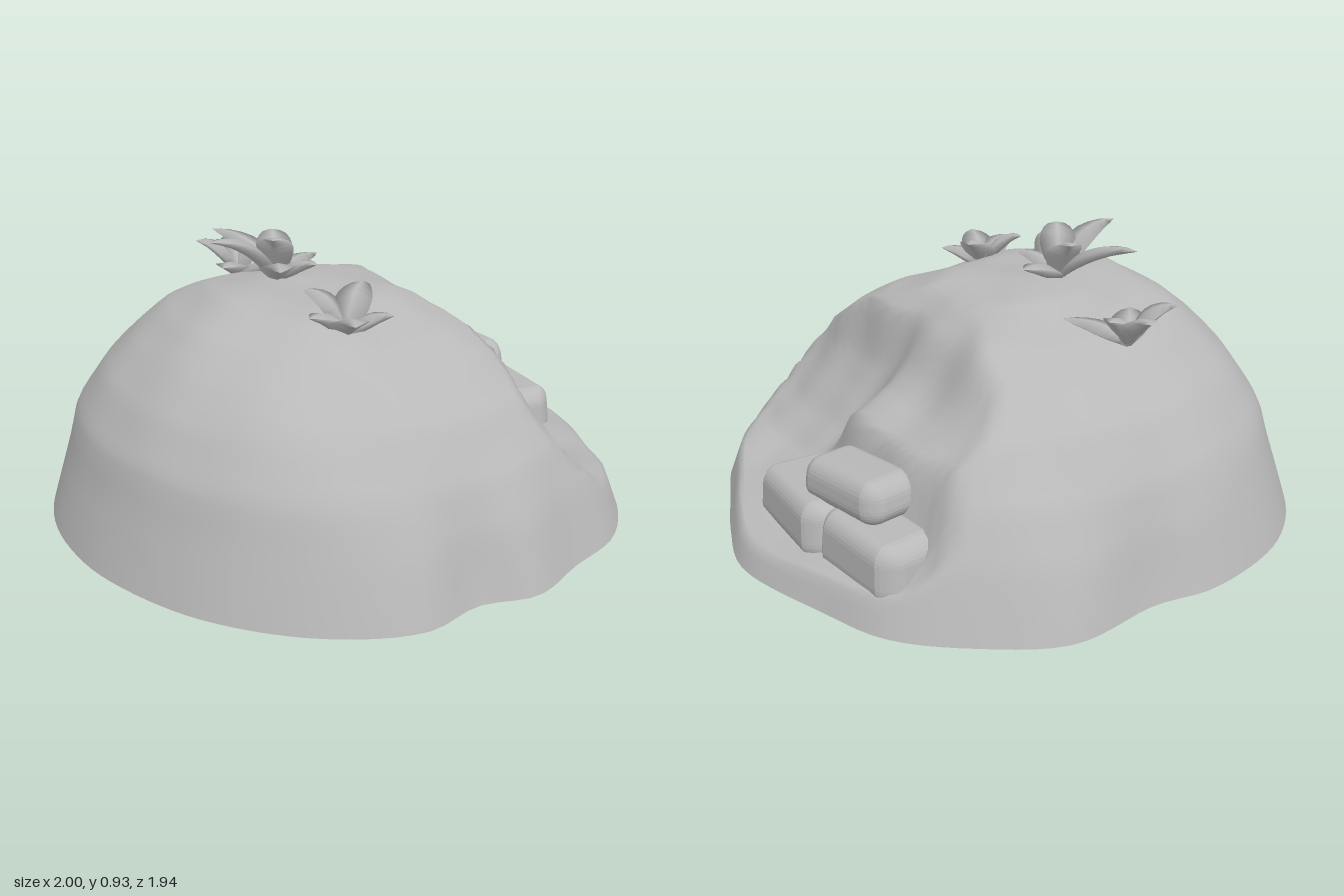
import * as THREE from 'three';
import { mergeVertices } from 'three/addons/utils/BufferGeometryUtils.js';
import { RoundedBoxGeometry } from 'three/addons/geometries/RoundedBoxGeometry.js';

const { lerp, smoothstep } = THREE.MathUtils;

// Piecewise linear lookup through [position, value] pairs
function lookup(table, t) {
  if (t <= table[0][0]) return table[0][1];
  for (let i = 1; i < table.length; i++) {
    const [a, u] = table[i - 1], [b, v] = table[i];
    if (t <= b) return lerp(u, v, (t - a) / (b - a));
  }
  return table[table.length - 1][1];
}

// Ground outline (x, z), running round the mound
const OUTLINE = [[-.99, -.2], [-.92, -.42], [-.75, -.7], [-.5, -.89], [-.15, -.97], [.06, -.94], [.38, -.96],
  [.61, -.83], [.81, -.64], [.9, -.42], [1, -.05], [.94, .19], [.85, .41], [.75, .63], [.57, .81], [.35, .89],
  [.14, .97], [-.05, .93], [-.26, .97], [-.54, .85], [-.8, .59], [-.96, .25], [-1, .02]];
// Height against distance from the centre, for the steep side and for the other sides
const STEEP = [[0, .775], [.39, .77], [.55, .7], [.67, .61], [.79, .5], [.89, .36], [.92, .24], [1, 0]];
const GENTLE = [[0, .775], [.25, .75], [.46, .68], [.6, .6], [.74, .5], [.86, .34], [.93, .2], [1, 0]];
// Highest ground against x: a rounded shoulder at the back, a shelf, and a scooped hollow in front
const SHOULDER = [[.08, .77], [.2, .73], [.3, .65], [.45, .51], [.58, .4], [.65, .2], [.75, .12], [.97, .08]];
const SHELF = [[.08, .77], [.2, .73], [.3, .65], [.37, .53], [.43, .475], [.58, .41], [.64, .2], [.75, .12], [.97, .08]];
const HOLLOW = [[.08, .77], [.2, .73], [.29, .65], [.33, .47], [.39, .37], [.49, .245], [.6, .16], [.75, .12], [.97, .08]];

const SIDES = 120;
const outlineCurve = new THREE.CatmullRomCurve3(OUTLINE.map(([x, z]) => new THREE.Vector3(x, 0, z)), true);
const RIM = outlineCurve.getSpacedPoints(SIDES).slice(0, SIDES);
// Evened-out outline, so that dents in the rim fade higher up
const SMOOTH_RIM = RIM.map((_, i) => {
  const sum = new THREE.Vector3();
  for (let k = -8; k <= 8; k++) sum.add(RIM[(i + k + SIDES) % SIDES]);
  return sum.multiplyScalar(1.03 / 17);
});

function groundHeight(x, z, s) {
  const dx = x + .1;
  const steep = Math.max(0, -dx / (Math.hypot(dx, z) || 1));
  const dome = lerp(lookup(GENTLE, s), lookup(STEEP, s), steep);
  const wx = x + .012 * Math.sin(z * 9 + 1) + .008 * Math.sin(z * 21);
  const back = lerp(lookup(SHELF, wx), lookup(SHOULDER, wx), smoothstep(-z, .35, .6));
  const cut = lerp(back, lookup(HOLLOW, wx), smoothstep(z, -.02, .22));
  const bumps = .008 * Math.sin(x * 13 + z * 5) * Math.sin(z * 11 - x * 4) * smoothstep(1 - s, 0, .15);
  return Math.max(0, Math.min(dome, cut) + bumps);
}

function moundGeometry() {
  const RINGS = 48, pos = [], idx = [];
  for (let j = 0; j <= RINGS; j++) {
    const s = 1 - Math.pow(j / RINGS, 1.25);
    RIM.forEach((rim, i) => {
      const p = SMOOTH_RIM[i].clone().lerp(rim, smoothstep(s, .8, 1));
      const x = -.1 + (p.x + .1) * s, z = p.z * s;
      pos.push(x, groundHeight(x, z, s), z);
    });
  }
  for (let j = 0; j < RINGS; j++) for (let i = 0; i < SIDES; i++) {
    const a = j * SIDES + i, b = j * SIDES + (i + 1) % SIDES, c = a + SIDES, d = b + SIDES;
    idx.push(a, c, b);
    if (j < RINGS - 1) idx.push(b, c, d);
  }
  let g = new THREE.BufferGeometry();
  g.setAttribute('position', new THREE.Float32BufferAttribute(pos, 3));
  g.setIndex(idx);
  g = mergeVertices(g, 1e-5);
  g.computeVertexNormals();
  return g;
}

// Flat underside on the same outline
function undersideGeometry() {
  const shape = new THREE.Shape(RIM.map(p => new THREE.Vector2(p.x, p.z)));
  return new THREE.ShapeGeometry(shape).rotateX(Math.PI / 2);
}

// Boulder: a rounded block, narrowed towards its ends and top; bend bows it sideways
function boulderGeometry(w, h, d, bend, tilt) {
  const g = new RoundedBoxGeometry(w, h, d, 4, .06);
  const p = g.attributes.position;
  for (let i = 0; i < p.count; i++) {
    const x = p.getX(i), y = p.getY(i), e = p.getZ(i) / d * 2;
    const k = 1 - .1 * (y / h + .5);
    p.setXYZ(i, x * k * (1 - .3 * e * e) + bend * e * e, y * (1 - .15 * e * e) + tilt * e, e * d / 2 * k);
  }
  g.computeVertexNormals();
  return g;
}

// Leaf: diamond sections along an arching path from the origin to the tip
function leafGeometry(tx, ty, tz) {
  const path = new THREE.QuadraticBezierCurve3(new THREE.Vector3(),
    new THREE.Vector3(tx * .3, ty * 1.05, tz * .3), new THREE.Vector3(tx, ty, tz));
  const side = new THREE.Vector3(tz, 0, -tx).normalize();
  const pos = [], idx = [], STEPS = 8;
  for (let j = 0; j <= STEPS; j++) {
    const t = j / STEPS, c = path.getPoint(t), tan = path.getTangent(t);
    const up = tan.clone().cross(side).normalize();
    const half = t === 1 ? .001 : .012 + .05 * Math.sin(Math.PI * Math.pow(t, .9));
    [[1, 0], [0, .2], [-1, 0], [0, -.5]].forEach(([u, v]) => {
      const q = c.clone().addScaledVector(side, u * half).addScaledVector(up, v * half);
      pos.push(q.x, q.y, q.z);
    });
  }
  for (let j = 0; j < STEPS; j++) for (let i = 0; i < 4; i++) {
    const a = j * 4 + i, b = j * 4 + (i + 1) % 4;
    idx.push(a, b, a + 4, b, b + 4, a + 4);
  }
  const g = new THREE.BufferGeometry();
  g.setAttribute('position', new THREE.Float32BufferAttribute(pos, 3));
  g.setIndex(idx);
  g.computeVertexNormals();
  return g;
}

// Tufts: base point, then leaf tips as offsets from it
const TUFTS = [
  { name: 'middlePlant', at: [-.19, .755, -.1], tips: [[-.25, .17, .02], [-.12, .14, -.26], [.17, .07, -.03],
    [-.1, .1, .23], [.08, .08, .14], [.04, .15, -.12], [-.06, .17, .1]] },
  { name: 'frontPlant', at: [-.17, .68, .34], tips: [[-.15, .1, .04], [-.07, .1, .18], [.13, .14, -.11],
    [.12, .08, .09], [-.09, .14, -.12]] },
  { name: 'backPlant', at: [-.14, .66, -.53], tips: [[.04, .12, -.15], [-.13, .13, -.08], [.12, .06, .18],
    [-.11, .07, .12], [.11, .11, -.04]] }
];

export function createModel() {
  const group = new THREE.Group();
  const stone = new THREE.MeshStandardMaterial({ color: 0xb8b8b8, side: THREE.DoubleSide });
  stone.name = 'stone grey';
  const add = (parent, name, geometry) => {
    const mesh = new THREE.Mesh(geometry, stone);
    mesh.name = name;
    parent.add(mesh);
    return mesh;
  };

  // Earth mound
  add(group, 'mound', moundGeometry());
  add(group, 'underside', undersideGeometry());

  // Stacked boulders on the ledge
  const boulders = [
    ['frontBoulder', [.3, .2, .46, -.03, -.005], [.755, .16, -.06], -.05],
    ['backBoulder', [.28, .2, .4, -.02, .005], [.715, .16, -.42], .12],
    ['topBoulder', [.25, .15, .4, 0, -.01], [.685, .305, -.27], .15]
  ];
  for (const [name, size, at, turn] of boulders) {
    const boulder = add(group, name, boulderGeometry(...size));
    boulder.position.set(...at);
    boulder.rotation.y = turn;
  }

  // Leafy plants along the crest
  for (const { name, at, tips } of TUFTS) {
    const plant = new THREE.Group();
    plant.name = name;
    plant.position.set(...at);
    tips.forEach(tip => add(plant, 'leaf', leafGeometry(...tip)));
    group.add(plant);
  }
  return group;
}
